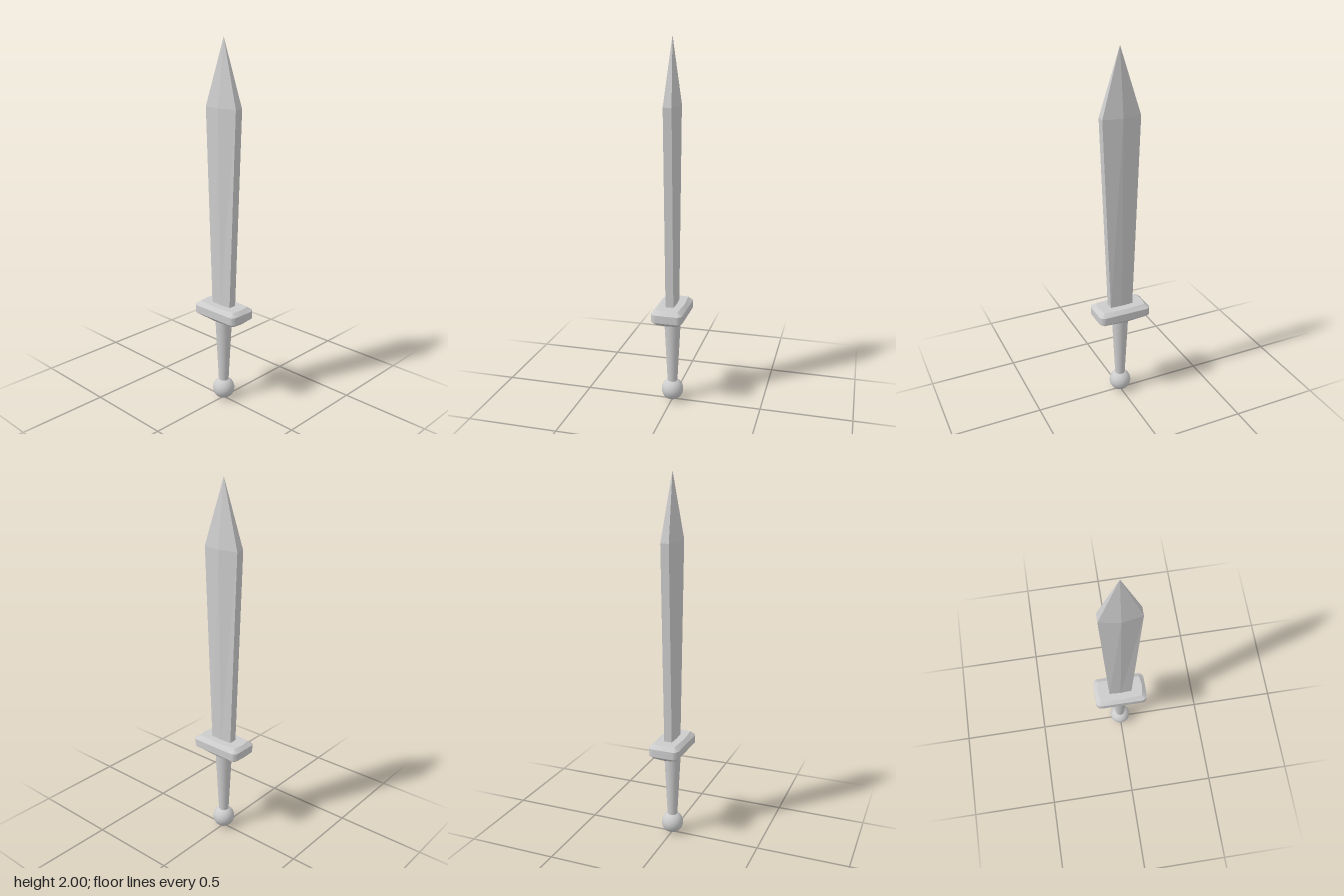
import * as THREE from 'three';
import { toCreasedNormals } from 'three/addons/utils/BufferGeometryUtils.js';

const material = new THREE.MeshStandardMaterial({ color: 0xcccccc });

// Skins a stack of rings (bottom to top, each running from +x towards +z) and caps both ends.
function loft(rings) {
  const positions = [];
  const triangle = (a, b, c) => {
    if (a.equals(b) || b.equals(c) || c.equals(a)) return;
    for (const p of [a, b, c]) positions.push(p.x, p.y, p.z);
  };
  const count = rings[0].length;
  const centre = (ring) => new THREE.Vector3(0, ring[0].y, 0);
  const first = rings[0], last = rings[rings.length - 1];
  for (let i = 0; i < count; i++) {
    const j = (i + 1) % count;
    for (let k = 0; k < rings.length - 1; k++) {
      const low = rings[k], up = rings[k + 1];
      triangle(low[i], up[i], low[j]);
      triangle(low[j], up[i], up[j]);
    }
    triangle(centre(first), first[i], first[j]);
    triangle(centre(last), last[j], last[i]);
  }
  const geometry = new THREE.BufferGeometry();
  geometry.setAttribute('position', new THREE.Float32BufferAttribute(positions, 3));
  return geometry;
}

// Flattened six-sided blade section with narrow flat edges
function bladeRing(y, halfWidth, edge, ridge) {
  return [
    [halfWidth, edge], [0, ridge], [-halfWidth, edge],
    [-halfWidth, -edge], [0, -ridge], [halfWidth, -edge],
  ].map(([x, z]) => new THREE.Vector3(x, y, z));
}

// Rectangle with rounded corners and a midpoint on every side
function guardRing(y, cornerX, cornerZ, radius, midX, midZ) {
  const steps = 6;
  const ring = [];
  for (let q = 0; q < 4; q++) {
    const start = (q * Math.PI) / 2;
    const sx = q === 0 || q === 3 ? 1 : -1;
    const sz = q < 2 ? 1 : -1;
    ring.push([
      new THREE.Vector3(midX, y, 0), new THREE.Vector3(0, y, midZ),
      new THREE.Vector3(-midX, y, 0), new THREE.Vector3(0, y, -midZ),
    ][q]);
    for (let s = 0; s <= steps; s++) {
      const a = start + (s / steps) * (Math.PI / 2);
      ring.push(new THREE.Vector3(
        sx * cornerX + radius * Math.cos(a), y, sz * cornerZ + radius * Math.sin(a)));
    }
  }
  return ring;
}

export function createModel() {
  const group = new THREE.Group();
  const add = (name, geometry, y = 0) => {
    const mesh = new THREE.Mesh(geometry, material);
    mesh.name = name;
    mesh.position.y = y;
    group.add(mesh);
  };

  // Blade widens upwards, then closes to a point
  add('blade', toCreasedNormals(loft([
    bladeRing(0.56, 0.065, 0.022, 0.026),
    bladeRing(1.65, 0.106, 0.023, 0.042),
    bladeRing(2, 0, 0, 0),
  ]), 0.05));

  // Guard: rounded block bevelled above and below to a sharp-cornered face
  const face = (y) => guardRing(y, 0.123, 0.059, 0, 0.132, 0.068);
  const rim = (y) => guardRing(y, 0.12, 0.055, 0.031, 0.151, 0.086);
  add('guard', toCreasedNormals(
    loft([face(0.492), rim(0.512), rim(0.555), face(0.575)]), Math.PI / 7));

  // Tapered grip and round pommel
  add('grip', new THREE.CylinderGeometry(0.047, 0.027, 0.4, 32), 0.3);
  add('pommel', new THREE.SphereGeometry(0.061, 32, 20), 0.061);

  return group;
}
